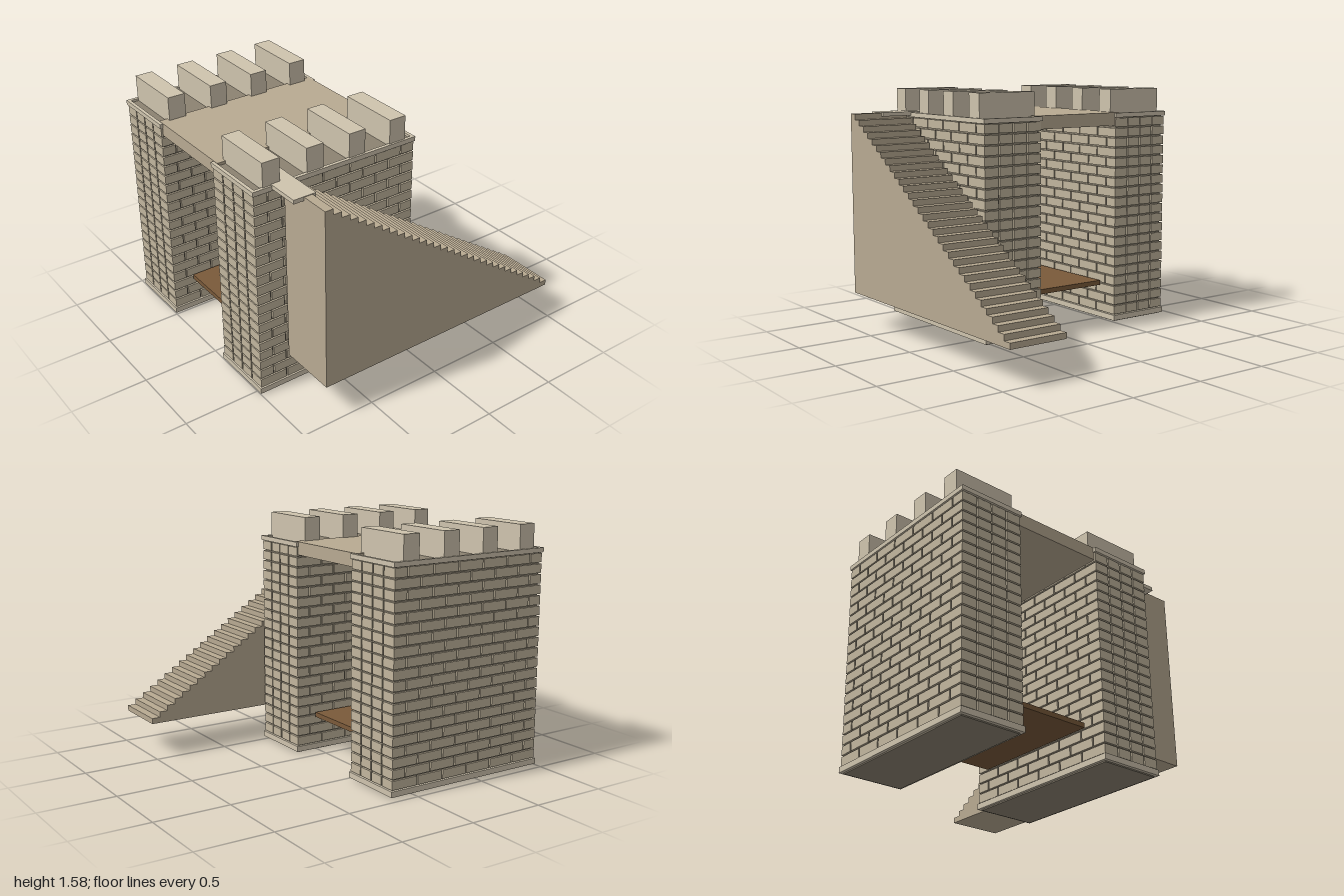
import * as THREE from 'three';
import { mergeGeometries } from 'three/addons/utils/BufferGeometryUtils.js';

const mat = (color, extra = {}) => new THREE.MeshStandardMaterial({ color, ...extra });
const stone = mat(0xcfc4ae), brick = mat(0xc2b69e), mortar = mat(0x8c8372);
const floorStone = mat(0xb8aa92), wood = mat(0x7a5a3a);

// Box geometry given by its two corners
function span(x0, x1, y0, y1, z0, z1) {
  return new THREE.BoxGeometry(x1 - x0, y1 - y0, z1 - z0)
    .translate((x0 + x1) / 2, (y0 + y1) / 2, (z0 + z1) / 2);
}

function part(name, geometry, material) {
  const mesh = new THREE.Mesh(geometry, material);
  mesh.name = name;
  return mesh;
}

// Joint positions along a wall; odd courses shift by half a brick
function courseJoints(a, b, count, odd) {
  const pitch = (b - a) / count, joints = [a];
  for (let i = odd ? 0.5 : 1; i < count; i++) joints.push(a + i * pitch);
  joints.push(b);
  return joints;
}

function brickCourses(x0, x1, z0, z1) {
  const rows = 20, bottom = 0.045, pitch = (1.39 - bottom) / rows;
  const gap = 0.005, depth = 0.025, list = [];
  for (let r = 0; r < rows; r++) {
    const y0 = bottom + r * pitch + gap, y1 = bottom + (r + 1) * pitch - gap;
    // Front and back walls
    const xs = courseJoints(x0, x1, 4, false);
    for (let i = 0; i < xs.length - 1; i++) {
      const a = xs[i] + (i ? gap : 0), b = xs[i + 1] - (i < xs.length - 2 ? gap : 0);
      list.push(span(a, b, y0, y1, z1 - depth, z1), span(a, b, y0, y1, z0, z0 + depth));
    }
    // Side walls, fitted between the corner bricks
    const zs = courseJoints(z0, z1, 6, r % 2 === 1);
    for (let i = 0; i < zs.length - 1; i++) {
      const a = i ? zs[i] + gap : z0 + depth;
      const b = i < zs.length - 2 ? zs[i + 1] - gap : z1 - depth;
      list.push(span(x0, x0 + depth, y0, y1, a, b), span(x1 - depth, x1, y0, y1, a, b));
    }
  }
  return mergeGeometries(list);
}

function tower(name, cx) {
  const g = new THREE.Group();
  g.name = name;
  const h = 0.2225, x0 = cx - h, x1 = cx + h, z0 = -0.16, z1 = 1, rim = 0.022;
  g.add(part('mortarCore', span(x0 + 0.02, x1 - 0.02, 0, 1.405, z0 + 0.022, z1 - 0.022), mortar));
  g.add(part('bricks', brickCourses(x0 + 0.007, x1 - 0.007, z0 + 0.008, z1 - 0.008), brick));
  g.add(part('plinth', span(x0, x1, 0.008, 0.045, z0, z1), stone));
  // Raised rim around the roof
  g.add(part('capRim', mergeGeometries([
    span(x0, x0 + rim, 1.39, 1.42, z0, z1), span(x1 - rim, x1, 1.39, 1.42, z0, z1),
    span(x0 + rim, x1 - rim, 1.39, 1.42, z0, z0 + rim),
    span(x0 + rim, x1 - rim, 1.39, 1.42, z1 - rim, z1),
  ]), stone));
  // Battlements
  for (let i = 0; i < 4; i++) {
    const z = -0.03 + i * 0.299;
    g.add(part('merlon', span(cx - 0.21, cx + 0.21, 1.4, 1.575, z - 0.058, z + 0.058), stone));
  }
  return g;
}

// Solid staircase descending toward the back
function staircase() {
  const steps = 32, zTop = 0.8, zEnd = -1, base = 0.227, top = 1.422;
  const run = (zTop - zEnd) / steps, rise = (top - base) / steps;
  const s = new THREE.Shape();
  s.moveTo(-zTop, base);
  s.lineTo(-zEnd, base);
  for (let i = 0; i < steps; i++) {
    s.lineTo(-(zEnd + i * run), base + (i + 1) * rise);
    s.lineTo(-(zEnd + (i + 1) * run), base + (i + 1) * rise);
  }
  s.closePath();
  const geo = new THREE.ExtrudeGeometry(s, { depth: 0.39, bevelEnabled: false });
  geo.rotateY(Math.PI / 2).translate(0.56, 0, 0);
  return part('staircase', geo, floorStone);
}

export function createModel() {
  const model = new THREE.Group();
  model.name = 'gatehouse';
  model.add(tower('rightTower', -0.7275), tower('leftTower', 0.3225));
  // Deck bridging the towers
  model.add(part('deck', span(-0.55, 0.14, 1.337, 1.423, -0.145, 0.98), floorStone));
  // Lowered drawbridge between the towers
  model.add(part('drawbridge', span(-0.49, 0.08, 0.238, 0.27, -0.03, 0.86), wood));
  model.add(staircase());
  // Landing slab joining stairs and roof
  model.add(part('landing', span(0.245, 0.755, 1.4, 1.426, 0.72, 0.87), stone));
  return model;
}
